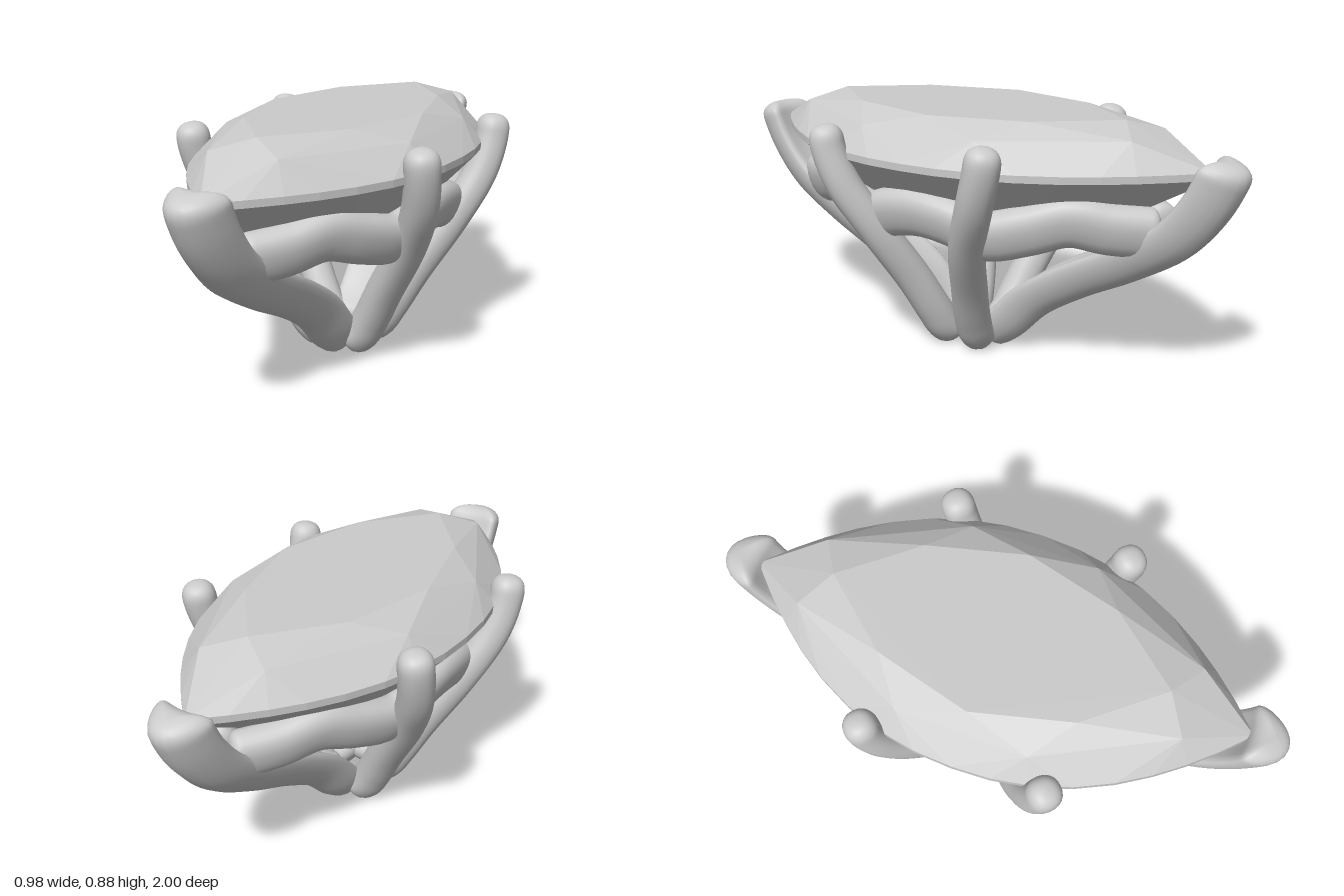
import * as THREE from 'three';
import { ConvexGeometry } from 'three/addons/geometries/ConvexGeometry.js';

const V = (x, y, z) => new THREE.Vector3(x, y, z);
const smooth = new THREE.MeshStandardMaterial({ color: 0xcccccc });
const faceted = new THREE.MeshStandardMaterial({ color: 0xcccccc, flatShading: true });

// Sweep a rounded section along points: half-size a lies along ref, b across it.
// cap = [start, end] rounding lengths; flare widens the start; power 2 is an ellipse,
// higher is boxier; bow bends the section's two edges to one side.
function sweep(points, a, b, ref, { cap, flare = 0, power = 2.2, bow = 0, rings = 56 }) {
  const sides = 24;
  const curve = new THREE.CatmullRomCurve3(points);
  const length = curve.getLength();
  const pos = [], index = [];
  const bend = (v) => Math.sign(v) * Math.abs(v) ** (2 / power);
  for (let i = 0; i <= rings; i++) {
    const u = 0.5 - 0.5 * Math.cos((Math.PI * i) / rings);
    const P = curve.getPointAt(u), T = curve.getTangentAt(u);
    const A = ref.clone().addScaledVector(T, -ref.dot(T)).normalize();
    const B = T.clone().cross(A);
    const inset = Math.max(0, 1 - (u * length) / cap[0], 1 - ((1 - u) * length) / cap[1]);
    const s = Math.max(0, 1 - inset ** 2.5) ** (1 / 2.5) * (1 + flare * (1 - u));
    for (let j = 0; j < sides; j++) {
      const t = (j / sides) * Math.PI * 2;
      const p = P.clone()
        .addScaledVector(A, a * s * bend(Math.cos(t)))
        .addScaledVector(B, s * (b * bend(Math.sin(t)) + bow * Math.cos(t) ** 2));
      pos.push(p.x, Math.max(0, p.y), p.z);
      if (i < rings) {
        const k = (j + 1) % sides, r = i * sides, q = r + sides;
        index.push(r + j, r + k, q + j, r + k, q + k, q + j);
      }
    }
  }
  const g = new THREE.BufferGeometry();
  g.setAttribute('position', new THREE.Float32BufferAttribute(pos, 3));
  g.setIndex(index);
  g.computeVertexNormals();
  return g;
}

// Pointed-oval gemstone as the hull of its facet corners
function gemGeometry() {
  const pts = [];
  const ring = (w, l, y, ts) => ts.forEach((t) => [-1, 1].forEach((sx) => [-1, 1].forEach((sz) => {
    if ((t === 1 && sx < 0) || (t === 0 && sz < 0)) return;
    pts.push(V(sx * w * (1 - t ** 2.2), y, sz * l * t));
  })));
  const girdle = [0, 0.15, 0.3, 0.44, 0.58, 0.7, 0.8, 0.9, 1];
  ring(0.29, 0.58, 0.875, [0, 0.58, 1]); // table
  ring(0.375, 0.75, 0.825, [0.3]); // crown along the sides
  ring(0.32, 0.825, 0.836, [0.8]); // crown near the points
  ring(0.44, 0.88, 0.742, girdle);
  ring(0.44, 0.88, 0.718, girdle);
  ring(0.2, 0.43, 0.46, [0, 0.58, 1]); // pavilion
  pts.push(V(0, 0.33, 0)); // culet
  return new ConvexGeometry(pts);
}

export function createModel() {
  const group = new THREE.Group();
  const add = (name, geometry, material = smooth) => {
    const mesh = new THREE.Mesh(geometry, material);
    mesh.name = name;
    group.add(mesh);
  };

  add('gemstone', gemGeometry(), faceted);

  // Broad prongs wrapping the two pointed ends
  const endPath = [[0.03, 0.07], [0.09, 0.155], [0.2, 0.265], [0.3, 0.42],
    [0.4, 0.61], [0.51, 0.78], [0.63, 0.88], [0.73, 0.93], [0.782, 0.947]];
  for (const s of [1, -1]) {
    add(s > 0 ? 'frontProng' : 'backProng',
      sweep(endPath.map(([y, z]) => V(0, y, s * z)), 0.102, 0.068, V(s, 0, 0),
        { cap: [0.05, 0.06], flare: -0.08, bow: 0.055 }));
  }

  // Four slim prongs gripping the long sides
  const sidePath = [[0.045, 0.035, 0.058], [0.1, 0.07, 0.07], [0.145, 0.14, 0.085], [0.215, 0.27, 0.12],
    [0.333, 0.47, 0.19], [0.405, 0.63, 0.265], [0.427, 0.75, 0.305], [0.428, 0.833, 0.318]];
  for (const sx of [1, -1]) for (const sz of [1, -1]) {
    add((sz > 0 ? 'front' : 'back') + (sx > 0 ? 'Left' : 'Right') + 'Prong',
      sweep(sidePath.map(([x, y, z]) => V(sx * x, y, sz * z)), 0.058, 0.058, V(sx, 0, sz),
        { cap: [0.05, 0.06], flare: 0.12 }));
  }

  // Wavy gallery rail under the stone, one half per side, meeting at the end prongs
  const wave = [[0, 0.553], [0.11, 0.538], [0.23, 0.502], [0.36, 0.53], [0.48, 0.565], [0.59, 0.54], [0.715, 0.522]];
  const full = [...wave.slice(1).reverse().map(([z, y]) => [-z, y]), ...wave];
  for (const sx of [1, -1]) {
    const path = full.map(([z, y]) => V(sx * 0.325 * (1 - (z / 0.73) ** 2), y, z));
    add(sx > 0 ? 'leftRail' : 'rightRail',
      sweep(path, 0.087, 0.06, V(sx * 0.35, 1, 0), { cap: [0.04, 0.04], power: 2.4, rings: 80 }));
  }
  return group;
}
